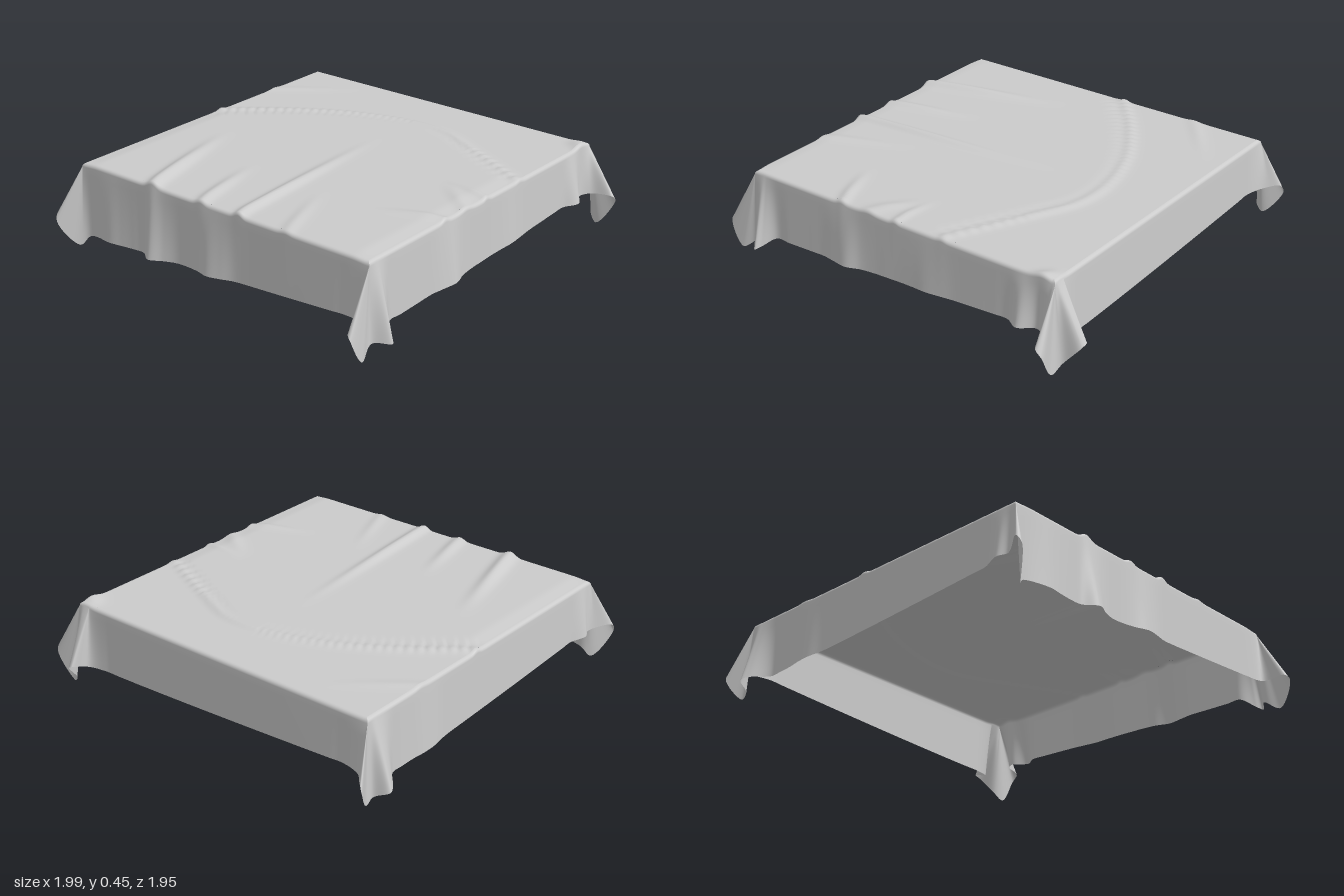
import * as THREE from 'three';

// Edges of the flat top, rim radius and rest height
const X0 = -0.845, X1 = 0.865, Z0 = -0.885, Z1 = 0.822, R = 0.018, TOP = 0.424;
const { clamp, smoothstep, lerp } = THREE.MathUtils;

// Creases on the top: [x1, z1, x2, z2, height, width], strongest at the first end
const creases = [
  [-0.86, -0.42, -0.1, -0.63, 0.024, 0.035],
  [-0.86, -0.12, -0.35, -0.24, 0.016, 0.03],
  [-0.86, 0.1, 0.3, 0, 0.02, 0.028],
  [-0.86, 0.38, -0.38, 0.2, 0.008, 0.03],
  [-0.3, 0.83, -0.43, 0.48, 0.012, 0.025],
  [-0.17, 0.83, 0.03, 0.56, 0.01, 0.035],
  [0, 0.83, 0.03, 0.55, 0.01, 0.022],
  [0.48, -0.89, 0.78, -0.5, 0.006, 0.03],
  [0.78, 0.83, 0.86, 0.72, 0.016, 0.04],
];

// Long curved fold sweeping from the back edge to the front edge
const sweep = new THREE.CatmullRomCurve3([
  [0.06, -0.9], [0.3, -0.6], [0.47, -0.3], [0.55, 0], [0.54, 0.2], [0.44, 0.43], [0.24, 0.84],
].map(([x, z]) => new THREE.Vector3(x, 0, z))).getPoints(48);

// Height of the cloth over the flat top
function height(x, z) {
  let y = TOP;
  for (const [ax, az, bx, bz, h, w] of creases) {
    const dx = bx - ax, dz = bz - az;
    const t = clamp(((x - ax) * dx + (z - az) * dz) / (dx * dx + dz * dz), 0, 1);
    const d = Math.hypot(x - ax - t * dx, z - az - t * dz);
    y += h * (1 - smoothstep(t, 0.2, 1)) * Math.exp(-((d / w) ** 2));
  }
  let d = Infinity, side = 0;
  for (const p of sweep) {
    const q = Math.hypot(x - p.x, z - p.z);
    if (q < d) { d = q; side = p.x - x; }
  }
  y += 0.011 * Math.exp(-((d / 0.026) ** 2));
  // the cloth lies a little higher inside the curved fold
  const edge = smoothstep(Math.min(z - Z0, Z1 - z), 0, 0.1) * smoothstep(x - X0, -0.05, 0.08);
  return y + 0.01 * edge * smoothstep(side, -0.02, 0.08);
}

// Hem of each side, counter-clockwise: ends [x, z, y] and bulges [position, depth, width]
const sides = {
  front: { from: [-0.72, 0.832, 0.11], to: [0.78, 0.832, 0.18], bulges: [[0.29, 0.028, 0.05], [0.61, 0.01, 0.06], [0.95, 0.043, 0.03]] },
  left: { from: [0.873, 0.66, 0.12], to: [0.873, -0.76, 0.178], bulges: [] },
  back: { from: [0.7, -0.893, 0.1], to: [-0.68, -0.893, 0.165], bulges: [[0.18, 0.014, 0.06]] },
  right: { from: [-0.853, -0.7, 0.075], to: [-0.853, 0.7, 0.15], bulges: [[0, 0.016, 0.06], [0.214, 0.055, 0.035], [0.46, 0.03, 0.06]] },
};

// Folded ear at the corner that follows each side: hem points [x, z, y]
const ears = {
  front: [
    [0.835, 0.87, 0.185], [0.87, 0.965, 0.18], [0.9, 0.963, 0.145], [0.89, 0.87, 0.012],
    [0.91, 0.825, 0.05], [0.985, 0.795, 0.14], [0.99, 0.765, 0.155], [0.9, 0.75, 0.125],
  ],
  left: [
    [0.9, -0.86, 0.18], [0.965, -0.925, 0.19], [0.975, -0.945, 0.15], [0.89, -0.905, 0.035],
    [0.855, -0.91, 0.06], [0.82, -0.975, 0.09], [0.785, -0.96, 0.1],
  ],
  back: [
    [-0.77, -0.922, 0.17], [-0.82, -0.903, 0.175], [-0.925, -0.972, 0.19],
    [-0.955, -0.965, 0.14], [-0.88, -0.895, 0.012], [-0.852, -0.85, 0.06],
  ],
  right: [
    [-0.875, 0.808, 0.152], [-0.985, 0.822, 0.155], [-0.998, 0.845, 0.135], [-0.93, 0.855, 0.012],
    [-0.85, 0.84, 0.06], [-0.795, 0.91, 0.06], [-0.77, 0.88, 0.075],
  ],
};

// Whole hem as one closed curve: each side bulges outward, then runs into its ear
function hemCurve() {
  const points = [], steps = 20;
  for (const [name, { from, to, bulges }] of Object.entries(sides)) {
    const dir = new THREE.Vector2(to[0] - from[0], to[1] - from[1]).normalize();
    for (let i = 0; i <= steps; i++) {
      const t = i / steps;
      const out = bulges.reduce((sum, [at, depth, w]) => sum + depth * Math.exp(-(((t - at) / w) ** 2)), 0);
      points.push(new THREE.Vector3(
        lerp(from[0], to[0], t) - dir.y * out,
        lerp(from[2], to[2], t ** 1.3),
        lerp(from[1], to[1], t) + dir.x * out,
      ));
    }
    for (const [x, z, y] of ears[name]) points.push(new THREE.Vector3(x, y, z));
  }
  return new THREE.CatmullRomCurve3(points, true, 'centripetal');
}

function clothTop() {
  const geo = new THREE.PlaneGeometry(X1 - X0 - 2 * R, Z1 - Z0 - 2 * R, 130, 130);
  geo.rotateX(-Math.PI / 2).translate((X0 + X1) / 2, 0, (Z0 + Z1) / 2);
  const p = geo.attributes.position;
  for (let i = 0; i < p.count; i++) p.setY(i, height(p.getX(i), p.getZ(i)));
  geo.computeVertexNormals();
  return geo;
}

// Ruled drape: rounded rim first, then straight lines down to the hem
function clothSkirt() {
  const curve = hemCurve();
  const n = curve.points.length * 8, rim = 4, drop = 8, rows = rim + drop + 1;
  const pos = [], index = [];
  for (let i = 0; i < n; i++) {
    const h = curve.getPoint(i / n);
    const ix = clamp(h.x, X0 + R, X1 - R), iz = clamp(h.z, Z0 + R, Z1 - R);
    const ox = clamp(h.x, X0, X1) - ix, oz = clamp(h.z, Z0, Z1) - iz;
    const y = height(ix, iz);
    for (let j = 0; j < rows; j++) {
      const a = Math.min(j / rim, 1) * Math.PI / 2, t = Math.max(0, j - rim) / drop;
      pos.push(
        lerp(ix + ox * Math.sin(a), h.x, t),
        lerp(y - R * (1 - Math.cos(a)), h.y, t),
        lerp(iz + oz * Math.sin(a), h.z, t),
      );
      if (j < rows - 1) {
        const p = i * rows + j, q = ((i + 1) % n) * rows + j;
        index.push(p, p + 1, q, q, p + 1, q + 1);
      }
    }
  }
  const geo = new THREE.BufferGeometry();
  geo.setAttribute('position', new THREE.Float32BufferAttribute(pos, 3));
  geo.setIndex(index);
  geo.computeVertexNormals();
  return geo;
}

export function createModel() {
  const material = new THREE.MeshStandardMaterial({ color: 0xcccccc, side: THREE.DoubleSide });
  const group = new THREE.Group();
  group.name = 'tablecloth';
  for (const [name, geo] of [['clothTop', clothTop()], ['clothSkirt', clothSkirt()]]) {
    const mesh = new THREE.Mesh(geo, material);
    mesh.name = name;
    group.add(mesh);
  }
  return group;
}
